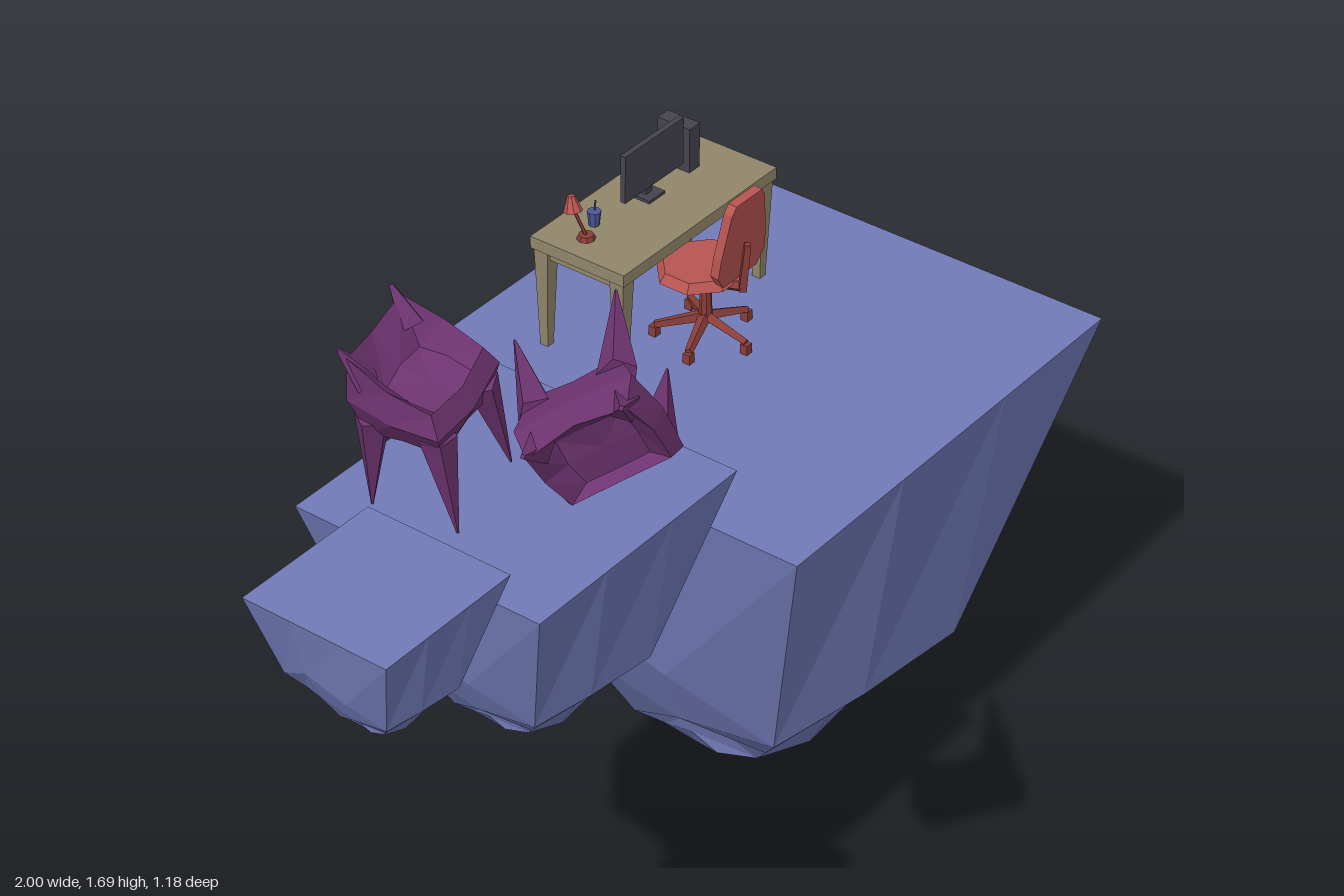
import * as THREE from 'three';

const mat = (color) => new THREE.MeshStandardMaterial({ color, flatShading: true, roughness: 0.9 });
const ROCK = mat(0x717bb8), PURPLE = mat(0x6e3470), WOOD = mat(0x91866a), RED = mat(0xb85552),
  DARK_RED = mat(0x8a3d38), DARK = mat(0x45434f), BLUE = mat(0x4c5a9a);

function add(parent, name, geometry, material, x = 0, y = 0, z = 0) {
  const m = new THREE.Mesh(geometry, material);
  m.name = name;
  m.position.set(x, y, z);
  parent.add(m);
  return m;
}

function group(parent, name, x = 0, y = 0, z = 0) {
  const g = new THREE.Group();
  g.name = name;
  g.position.set(x, y, z);
  parent.add(g);
  return g;
}

// Skin between rings listed top to bottom; a ring of one point closes an end
function loft(rings) {
  const out = [];
  for (let r = 0; r < rings.length - 1; r++) {
    const a = rings[r], b = rings[r + 1], n = Math.max(a.length, b.length);
    for (let i = 0; i < n; i++) {
      const a0 = a[i % a.length], a1 = a[(i + 1) % a.length];
      const b0 = b[i % b.length], b1 = b[(i + 1) % b.length];
      if (a.length > 1) out.push(...a0, ...a1, ...b1);
      if (b.length > 1) out.push(...a0, ...b1, ...b0);
    }
  }
  const g = new THREE.BufferGeometry();
  g.setAttribute('position', new THREE.Float32BufferAttribute(out, 3));
  g.computeVertexNormals();
  return g;
}

// Tapered bar between two points
function rod(parent, name, from, to, r0, r1, material, sides = 6) {
  const a = new THREE.Vector3(...from), b = new THREE.Vector3(...to), d = b.clone().sub(a);
  const m = add(parent, name, new THREE.CylinderGeometry(r1, r0, d.length(), sides), material);
  m.position.copy(a).add(b).multiplyScalar(0.5);
  m.quaternion.setFromUnitVectors(new THREE.Vector3(0, 1, 0), d.normalize());
  return m;
}

// Twelve points around a square, starting at its back left corner
const CORNERS = [[1, -1], [1, 1], [-1, 1], [-1, -1]];
const SQUARE = Array.from({ length: 12 }, (_, i) => {
  const p = CORNERS[Math.floor(i / 3)], q = CORNERS[(Math.floor(i / 3) + 1) % 4], t = (i % 3) / 3;
  return [p[0] + (q[0] - p[0]) * t, p[1] + (q[1] - p[1]) * t];
});

// Floating rock: flat square top, crumpled underside with two peaks
function islandGeometry() {
  const HX = 0.4275, HZ = 0.415;
  const ring = (sizes, heights, cx = 0) => SQUARE.map(([x, z], i) =>
    [HX * (cx + x * sizes[i]), heights[i], HZ * z * sizes[i]]);
  const all = (v) => Array(12).fill(v);
  return loft([
    [[0, 0.755, 0]],
    ring(all(1), all(0.755)),
    ring([.70, .82, .86, .72, .86, .82, .70, .86, .85, .72, .80, .80],
      [.29, .36, .37, .36, .26, .27, .25, .36, .42, .30, .34, .36]),
    ring([.54, .66, .68, .55, .66, .70, .56, .71, .68, .55, .68, .62],
      [.22, .22, .18, .24, .20, .23, .17, .22, .24, .20, .22, .27]),
    ring([.42, .45, .40, .34, .42, .49, .40, .45, .48, .36, .47, .50],
      [.08, .07, .12, .10, .09, .07, .08, .14, .09, .12, .015, .10]),
    ring(all(0.2), [.09, .06, .10, .06, .07, .09, .05, .07, .06, .08, .09, .10], -0.2),
    [[HX * -0.28, 0, 0]],
  ]);
}

// Armchair-like creature with a sunken seat, a high back and spiky legs
function spikyChair(parent, name) {
  const g = group(parent, name);
  const ring = (hx, hz, heights, cz = 0) => Array.from({ length: 8 }, (_, i) => {
    const a = (i / 8) * Math.PI * 2 - Math.PI / 4, k = i % 2 ? 1 : 1.3;
    return [Math.cos(a) * hx * k, heights[i % heights.length], cz + Math.sin(a) * hz * k];
  });
  add(g, 'body', loft([
    [[0, 0.205, 0.01]],
    ring(0.05, 0.045, [.215, .21, .20, .195, .20, .21, .215, .22], 0.01),
    ring(0.078, 0.068, [.28, .25, .225, .215, .225, .25, .285, .27], -0.005),
    ring(0.092, 0.078, [.215, .20, .19, .18, .19, .20, .215, .22]),
    ring(0.07, 0.065, [.14, .15, .135, .155, .14, .15, .135, .155]),
    [[0, 0.165, 0]],
  ]), PURPLE);
  for (const x of [-1, 1]) {
    for (const z of [-1, 1]) {
      rod(g, 'spikeLeg', [x * 0.058, 0.17, z * 0.052], [x * 0.075, 0, z * 0.07], 0.028, 0.002, PURPLE, 5);
    }
    // Horn at each upper corner of the back
    rod(g, 'backHorn', [x * 0.06, 0.24, -0.05], [x * 0.07, 0.295, -0.08], 0.024, 0.004, PURPLE, 4);
  }
  return g;
}

function desk(parent) {
  const g = group(parent, 'desk', 0.57, 0.755, -0.36);
  add(g, 'deskTop', new THREE.BoxGeometry(0.41, 0.022, 0.19), WOOD, 0, 0.199, 0);
  for (const x of [-1, 1]) {
    add(g, 'sideRail', new THREE.BoxGeometry(0.015, 0.018, 0.15), WOOD, x * 0.187, 0.18, 0);
    for (const z of [-1, 1]) {
      const geo = new THREE.CylinderGeometry(0.02, 0.011, 0.19, 4).rotateY(Math.PI / 4);
      add(g, 'deskLeg', geo, WOOD, x * 0.187, 0.095, z * 0.077);
    }
  }

  // Things on the desk, heights from the desk top
  const top = group(g, 'deskItems', 0, 0.21, 0);
  add(top, 'computerTower', new THREE.BoxGeometry(0.028, 0.083, 0.066), DARK, 0.116, 0.042, -0.04);
  add(top, 'monitorScreen', new THREE.BoxGeometry(0.155, 0.088, 0.01), DARK, 0.008, 0.071, -0.012);
  add(top, 'monitorNeck', new THREE.BoxGeometry(0.016, 0.06, 0.01), DARK, 0.008, 0.032, -0.023);
  add(top, 'monitorFoot', new THREE.BoxGeometry(0.042, 0.005, 0.042), DARK, 0.008, 0.003, -0.022);
  add(top, 'mug', new THREE.CylinderGeometry(0.012, 0.009, 0.026, 8), BLUE, -0.115, 0.013, -0.035);
  rod(top, 'pen', [-0.115, 0.01, -0.035], [-0.109, 0.042, -0.037], 0.002, 0.002, DARK, 4);
  add(top, 'lampBase', new THREE.CylinderGeometry(0.013, 0.016, 0.008, 8), DARK_RED, -0.155, 0.004, -0.02);
  rod(top, 'lampLowerArm', [-0.155, 0.005, -0.02], [-0.163, 0.045, -0.035], 0.003, 0.003, DARK_RED, 5);
  rod(top, 'lampUpperArm', [-0.163, 0.045, -0.035], [-0.166, 0.078, -0.04], 0.003, 0.003, DARK_RED, 5);
  rod(top, 'lampShade', [-0.168, 0.052, -0.036], [-0.166, 0.078, -0.042], 0.016, 0.006, RED, 8);
}

function officeChair(parent) {
  const g = group(parent, 'officeChair', 0.56, 0.755, -0.247);
  for (let i = 0; i < 5; i++) {
    const a = (i / 5) * Math.PI * 2 + Math.PI / 2, c = Math.cos(a), s = Math.sin(a);
    rod(g, 'starLeg', [0, 0.04, 0], [c * 0.083, 0.02, s * 0.083], 0.011, 0.007, DARK_RED, 4);
    add(g, 'caster', new THREE.BoxGeometry(0.014, 0.018, 0.014), DARK_RED, c * 0.083, 0.009, s * 0.083);
  }
  rod(g, 'column', [0, 0.03, 0], [0, 0.11, 0], 0.012, 0.009, DARK_RED, 8);
  const pan = new THREE.CylinderGeometry(0.081, 0.035, 0.025, 8).rotateY(Math.PI / 8).scale(1, 1, 0.9);
  add(g, 'seatPan', pan, DARK_RED, 0, 0.112, -0.01);
  const cushion = new THREE.CylinderGeometry(0.07, 0.081, 0.016, 8).rotateY(Math.PI / 8).scale(1, 1, 0.9);
  add(g, 'seatCushion', cushion, RED, 0, 0.1325, -0.01);
  rod(g, 'backSupport', [0, 0.11, 0.02], [0, 0.125, 0.075], 0.009, 0.009, DARK_RED, 4);
  rod(g, 'backSpine', [0, 0.118, 0.073], [0, 0.21, 0.082], 0.009, 0.007, DARK_RED, 4);

  // Tapered backrest leaning away from the desk
  const half = [[0.045, 0], [0.062, 0.025], [0.06, 0.06], [0.044, 0.14], [0.034, 0.155]];
  const outline = [...half, ...half.map(([x, y]) => [-x, y]).reverse()];
  const shape = new THREE.Shape(outline.map(([x, y]) => new THREE.Vector2(x, y)));
  const back = add(g, 'backrest', new THREE.ExtrudeGeometry(shape, { depth: 0.016, bevelEnabled: false }),
    RED, 0, 0.145, 0.052);
  back.rotation.x = 0.1;
}

export function createModel() {
  const model = new THREE.Group();
  model.name = 'floatingIslands';

  // Three copies of the rock, shrinking as they rise
  const rock = islandGeometry();
  add(model, 'largeIsland', rock, ROCK, 0.5725, 0, -0.175);
  add(model, 'mediumIsland', rock, ROCK, -0.365, 0.755, 0.11).scale.set(0.526, 0.51, 0.53);
  add(model, 'smallIsland', rock, ROCK, -0.875, 1.147, 0.292).scale.set(0.292, 0.283, 0.292);

  desk(model);
  officeChair(model);

  // One creature stands tilted on the middle island
  const standing = spikyChair(model, 'standingSpikyChair');
  standing.position.set(-0.435, 1.155, 0.03);
  standing.rotation.set(0, 0.15, 0.2);

  // The other tumbles through the air, seat towards the front right
  const flying = spikyChair(model, 'flyingSpikyChair');
  const up = new THREE.Vector3(-0.75, 0.05, 0.65).normalize();
  const front = new THREE.Vector3(0.3, -0.85, 0.35);
  front.addScaledVector(up, -front.dot(up)).normalize();
  const side = new THREE.Vector3().crossVectors(up, front);
  flying.quaternion.setFromRotationMatrix(new THREE.Matrix4().makeBasis(side, up, front));
  flying.position.set(-0.525, 1.565, 0.37);
  return model;
}
